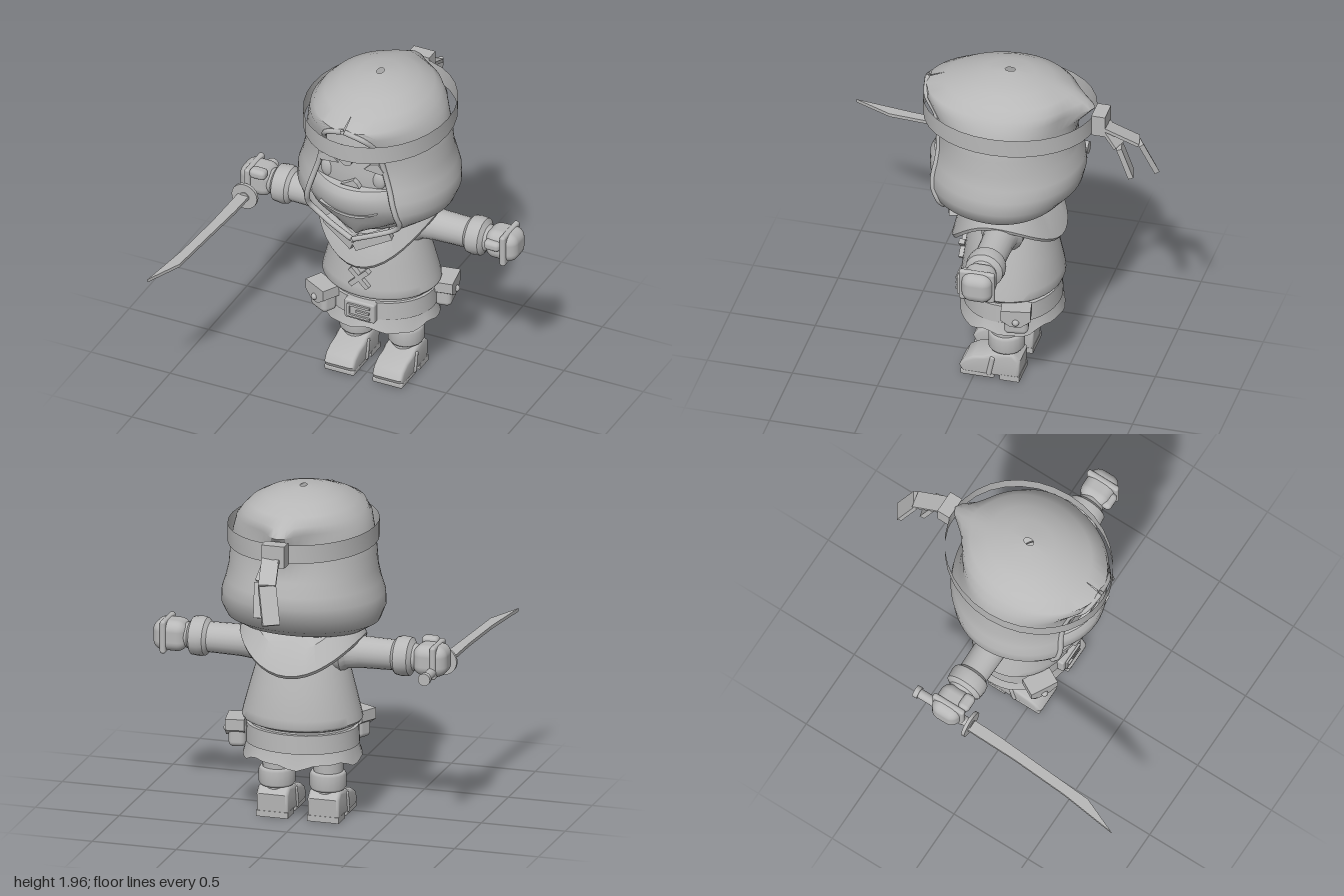
import * as THREE from 'three';
import { toCreasedNormals } from 'three/addons/utils/BufferGeometryUtils.js';
import { RoundedBoxGeometry } from 'three/addons/geometries/RoundedBoxGeometry.js';

const grey = new THREE.MeshStandardMaterial({ color: 0xb8b8b8, side: THREE.DoubleSide });
grey.name = 'grey';
const CX = 0.012, CZ = -0.16;

// Skin a list of equally long point rows
function loft(rows, crease = 0.7) {
  const n = rows[0].length, pos = [], idx = [];
  rows.forEach(r => r.forEach(p => pos.push(...p)));
  for (let i = 0; i < rows.length - 1; i++)
    for (let j = 0; j < n - 1; j++) {
      const a = i * n + j, b = a + n;
      idx.push(a, b, a + 1, b, b + 1, a + 1);
    }
  const g = new THREE.BufferGeometry();
  g.setAttribute('position', new THREE.Float32BufferAttribute(pos, 3));
  g.setIndex(idx);
  return toCreasedNormals(g, crease);
}

// Closed oval row; t = 0 is the front, y may be a rule of t
function oval(y, rx, zf, zb, n = 40) {
  const mid = (zf + zb) / 2, d = (zf - zb) / 2;
  return Array.from({ length: n + 1 }, (_, i) => {
    const t = i / n * Math.PI * 2;
    return [CX + rx * Math.sin(t), typeof y === 'function' ? y(t) : y, mid + d * Math.cos(t)];
  });
}

// Bowed front panel from rows of [y, half width, z]
function panel(rows, drop) {
  return loft(rows.map(([y, w, z]) => Array.from({ length: 17 }, (_, i) => {
    const s = i / 8 - 1;
    return [CX + w * s, y, z - drop * s * s];
  })));
}

function plate(points, depth) {
  const s = new THREE.Shape(points.map(p => new THREE.Vector2(...p)));
  return new THREE.ExtrudeGeometry(s, { depth, bevelEnabled: false });
}

// Flat bar running between two points
function bar(a, b, width, thick) {
  const A = new THREE.Vector3(...a), B = new THREE.Vector3(...b);
  const m = new THREE.Mesh(new THREE.BoxGeometry(width, thick, A.distanceTo(B)), grey);
  m.position.copy(A).lerp(B, 0.5);
  m.lookAt(B);
  return m;
}

export function createModel() {
  const model = new THREE.Group();
  model.name = 'swordsman';
  const add = (name, geo, x = 0, y = 0, z = 0, parent = model) => {
    const m = new THREE.Mesh(geo, grey);
    m.name = name;
    m.position.set(x, y, z);
    parent.add(m);
    return m;
  };
  const addBar = (name, ...args) => { const m = bar(...args); m.name = name; model.add(m); return m; };

  // Hood rows: y, half width, front z, back z, rear peak, half width of face opening
  const hood = [
    [1.965, 0.02, -0.12, -0.18, 0, 0], [1.955, 0.13, 0.0, -0.29, 0, 0], [1.925, 0.22, 0.1, -0.4, 0, 0],
    [1.88, 0.3, 0.23, -0.5, 0.02, 0], [1.835, 0.345, 0.335, -0.54, 0.06, 0.005], [1.79, 0.38, 0.335, -0.53, 0.12, 0.12],
    [1.7, 0.405, 0.28, -0.51, 0.05, 0.165], [1.6, 0.42, 0.265, -0.53, 0, 0.19], [1.5, 0.428, 0.27, -0.545, 0, 0.215],
    [1.42, 0.445, 0.29, -0.58, 0, 0.24], [1.35, 0.468, 0.31, -0.585, 0, 0.26], [1.27, 0.472, 0.32, -0.565, 0, 0.28],
    [1.19, 0.44, 0.3, -0.49, 0, 0.285], [1.14, 0.36, 0.29, -0.4, 0, 0.24], [1.1, 0.27, 0.27, -0.28, 0, 0.15],
    [1.04, 0.12, 0.22, -0.1, 0, 0.005], [1.02, 0.02, 0.1, 0, 0, 0]];
  const hoodRows = hood.map(([y, W, zf, zb, pk, w]) => {
    const t0 = Math.asin(w / W), c = Math.max(zb + 0.02, Math.min(-0.15, zf - 0.02));
    return Array.from({ length: 57 }, (_, i) => {
      const t = t0 + (Math.PI * 2 - 2 * t0) * i / 56, cos = Math.cos(t);
      const z = c + (cos > 0 ? zf - c : c - zb) * cos - pk * Math.exp(-(((t - Math.PI) / 0.25) ** 2));
      return [CX + W * Math.sin(t), y, z];
    });
  });
  add('hood', loft(hoodRows, 1.2));
  for (const end of [0, 56]) {
    const edge = hoodRows.slice(4, 16).map(r => new THREE.Vector3(...r[end]));
    add('hoodEdge', new THREE.TubeGeometry(new THREE.CatmullRomCurve3(edge), 40, 0.016, 8));
  }

  // Face and mask
  add('face', panel([[1.84, 0.2, 0.2], [1.65, 0.26, 0.23], [1.5, 0.29, 0.24], [1.4, 0.3, 0.24], [1.2, 0.31, 0.2], [1.08, 0.2, 0.15]], 0.1));
  add('mask', panel([[1.425, 0.25, 0.24], [1.415, 0.255, 0.285], [1.38, 0.262, 0.31], [1.3, 0.28, 0.31],
    [1.24, 0.285, 0.275], [1.18, 0.275, 0.245], [1.11, 0.18, 0.21], [1.05, 0.03, 0.17]], 0.12));
  const smile = new THREE.Shape();
  smile.moveTo(-0.18, 1.285);
  smile.quadraticCurveTo(0, 1.165, 0.18, 1.285);
  smile.quadraticCurveTo(0, 1.2, -0.18, 1.285);
  add('maskFold', new THREE.ExtrudeGeometry(smile, { depth: 0.035, bevelEnabled: false }), CX, 0, 0.245);
  for (const s of [-1, 1]) {
    const eye = add('eye', new THREE.SphereGeometry(1, 20, 14), CX + s * 0.16, 1.475, 0.2);
    eye.scale.set(0.045, 0.06, 0.025);
    add('eyebrow', plate([[0.08, 1.545], [0.19, 1.535], [0.205, 1.555], [0.17, 1.6], [0.12, 1.585]].map(([x, y]) => [s * x, y]), 0.04), CX, 0, 0.195);
  }
  add('nose', plate([[-0.05, 1.43], [0.07, 1.43], [0.05, 1.46], [0.03, 1.475], [-0.01, 1.45]], 0.04), CX, 0, 0.23);
  add('hairLock', plate([[-0.07, 1.68], [0.05, 1.68], [0.025, 1.59], [-0.01, 1.575], [-0.045, 1.6]], 0.05), CX, 0, 0.24);
  add('hairLock', plate([[0.05, 1.68], [0.11, 1.68], [0.08, 1.62]], 0.05), CX, 0, 0.23);

  // Headband, knot and hanging tails
  add('headband', loft([oval(1.65, 0.425, 0.35, -0.65, 32), oval(1.76, 0.425, 0.35, -0.65, 32)]));
  add('knot', new THREE.BoxGeometry(0.135, 0.13, 0.08), CX, 1.71, -0.685);
  const tails = [
    [[0.03, 1.69, -0.71], [-0.01, 1.59, -0.9], [-0.06, 1.385, -0.98]],
    [[0.02, 1.69, -0.71], [0.045, 1.58, -0.8], [0.03, 1.385, -0.865]]];
  for (const [a, b, c] of tails) {
    addBar('bandTail', a, b, 0.1, 0.02);
    addBar('bandTail', b, c, 0.1, 0.03);
  }

  // Tunic, skirt and belt
  add('tunic', loft([oval(1.15, 0.12, -0.04, -0.28), oval(1.1, 0.2, 0.04, -0.34), oval(0.98, 0.25, 0.08, -0.38),
    oval(0.8, 0.3, 0.1, -0.43), oval(0.65, 0.34, 0.12, -0.46), oval(0.605, 0.35, 0.125, -0.465), oval(0.59, 0.34, 0.12, -0.46), oval(0.57, 0.3, 0.09, -0.42)]));
  const hem = t => 0.375 + 0.015 * Math.sin(5 * t + 1) + 0.008 * Math.sin(11 * t);
  add('skirt', loft([oval(0.59, 0.3, 0.09, -0.42), oval(0.47, 0.315, 0.1, -0.43), oval(hem, 0.345, 0.13, -0.46),
    oval(0.4, 0.31, 0.09, -0.42), oval(0.41, 0.01, -0.15, -0.17)]));
  add('belt', loft([oval(0.45, 0.3, 0.08, -0.41), oval(0.45, 0.33, 0.115, -0.45), oval(0.56, 0.325, 0.11, -0.445), oval(0.56, 0.29, 0.08, -0.41)]));
  add('buckle', new RoundedBoxGeometry(0.19, 0.125, 0.05, 2, 0.012), CX + 0.005, 0.5, 0.115);
  for (const y of [-0.035, 0.035]) add('buckleRim', new THREE.BoxGeometry(0.14, 0.014, 0.02), CX + 0.005, 0.5 + y, 0.142);
  add('bucklePin', new THREE.BoxGeometry(0.08, 0.014, 0.02), CX + 0.03, 0.5, 0.142);
  add('buckleRim', new THREE.BoxGeometry(0.014, 0.08, 0.02), CX - 0.06, 0.5, 0.142);

  // Belt pouches
  for (const [x, z, turn] of [[-0.235, 0.08, -0.5], [0.36, -0.28, 1.75]]) {
    const pouch = new THREE.Group();
    pouch.name = 'pouch';
    add('pouchBag', new RoundedBoxGeometry(0.14, 0.13, 0.1, 3, 0.03), 0, 0.49, 0, pouch);
    add('pouchFlap', plate([[-0.085, 0.595], [0.085, 0.595], [0.085, 0.53], [0.03, 0.49], [-0.03, 0.49], [-0.085, 0.53]], 0.11), 0, 0, -0.045, pouch);
    add('pouchButton', new THREE.SphereGeometry(0.02, 12, 8), 0, 0.52, 0.065, pouch);
    pouch.position.set(x, 0, z);
    pouch.rotation.y = turn;
    model.add(pouch);
  }

  // Chest cross
  for (const s of [-1, 1]) addBar('chestCross', [CX - 0.055, 0.72 - s * 0.055, 0.12], [CX + 0.055, 0.72 + s * 0.055, 0.12], 0.035, 0.03);

  // Draped shoulder cowl
  const drape = up => t => (Math.cos(t) > 0 ? 0.81 + 0.28 * Math.sin(t) ** 2 : 0.9 + 0.19 * Math.sin(t) ** 2) + up;
  add('cowl', loft([oval(1.14, 0.18, 0.08, -0.33), oval(drape(0.15), 0.3, 0.15, -0.41), oval(drape(0.02), 0.365, 0.18, -0.475),
    oval(drape(0), 0.36, 0.165, -0.46), oval(drape(0.03), 0.32, 0.12, -0.42)], 0.5));
  for (const s of [-1, 1]) addBar('neckFold', [CX + s * 0.2, 1.08, 0.13], [CX, 0.985, 0.19], 0.05, 0.06);

  // Arms: lathe profiles of [radius, x]
  const profile = [[0.01, 0.16], [0.11, 0.17], [0.125, 0.2], [0.125, 0.25], [0.1, 0.28], [0.092, 0.36], [0.088, 0.55], [0.11, 0.57],
    [0.115, 0.6], [0.11, 0.65], [0.08, 0.67], [0.07, 0.7], [0.01, 0.71]].map(p => new THREE.Vector2(...p));
  for (const s of [-1, 1]) {
    const arm = new THREE.Group();
    arm.name = s > 0 ? 'leftArm' : 'rightArm';
    const sleeve = add('sleeve', toCreasedNormals(new THREE.LatheGeometry(profile, 20), 0.6), 0, 0, 0, arm);
    sleeve.rotation.z = -s * Math.PI / 2;
    add('hand', new RoundedBoxGeometry(0.2, 0.18, 0.18, 4, 0.06), s * 0.775, 0, -0.005, arm);
    add('handBand', new RoundedBoxGeometry(0.035, 0.195, 0.21, 3, 0.015), s * 0.805, 0, 0, arm);
    add('thumb', new RoundedBoxGeometry(0.1, 0.06, 0.07, 3, 0.025), s * 0.74, s > 0 ? 0.02 : 0.08, 0.08, arm);
    arm.position.set(CX, 1.01, -0.17);
    model.add(arm);
  }

  // Sword in the right hand
  const sy = 0.955;
  const along = (name, r, len, x, z) => { add(name, new THREE.CylinderGeometry(r, r, len, 20), x, sy, z).rotation.x = Math.PI / 2; };
  along('swordGrip', 0.028, 0.37, -0.785, -0.2);
  along('swordPommel', 0.036, 0.03, -0.785, -0.385);
  along('swordGuard', 0.08, 0.02, -0.785, -0.03);
  const blade = add('swordBlade', plate([[-0.825, -0.03], [-0.832, 0.3], [-0.855, 0.65], [-0.9, 1], [-0.805, 0.78],
    [-0.782, 0.45], [-0.76, 0.15], [-0.755, -0.03]], 0.02), 0, sy + 0.01, 0);
  blade.rotation.x = Math.PI / 2;

  // Legs and shoes; shoe outline is [z, y]
  const outline = [[-0.245, 0.04], [-0.25, 0.13], [-0.22, 0.16], [-0.12, 0.15], [-0.06, 0.125], [0.0, 0.115], [0.045, 0.09], [0.065, 0.055], [0.055, 0.035]];
  const shoeGeo = new THREE.ExtrudeGeometry(new THREE.Shape(outline.map(p => new THREE.Vector2(...p))),
    { depth: 0.14, bevelThickness: 0.025, bevelSize: 0.02, bevelSegments: 4 });
  shoeGeo.rotateY(-Math.PI / 2).translate(0.07, 0, 0);
  const shoe = toCreasedNormals(shoeGeo, 0.8);
  const ring = (r, h) => new THREE.LatheGeometry([[r - 0.04, -h / 2], [r - 0.01, -h / 2], [r, -h / 2 + 0.015], [r, h / 2 - 0.015], [r - 0.01, h / 2], [r - 0.04, h / 2]]
    .map(p => new THREE.Vector2(...p)), 20);
  for (const s of [-1, 1]) {
    const leg = new THREE.Group();
    leg.name = s > 0 ? 'leftLeg' : 'rightLeg';
    add('shin', new THREE.CylinderGeometry(0.088, 0.082, 0.32, 20), 0, 0.28, -0.165, leg);
    add('legCuff', ring(0.105, 0.105), 0, 0.23, -0.17, leg);
    add('shoe', shoe, 0, 0, 0, leg);
    const strap = add('shoeStrap', new RoundedBoxGeometry(0.208, 0.13, 0.03, 2, 0.012), 0, 0.085, -0.1, leg);
    strap.rotation.x = -0.2;
    add('frontSole', new RoundedBoxGeometry(0.19, 0.035, 0.2, 2, 0.012), 0, 0.018, -0.02, leg);
    add('heel', new THREE.BoxGeometry(0.19, 0.035, 0.115), 0, 0.018, -0.21, leg);
    leg.position.x = CX + s * 0.152;
    model.add(leg);
  }
  return model;
}
